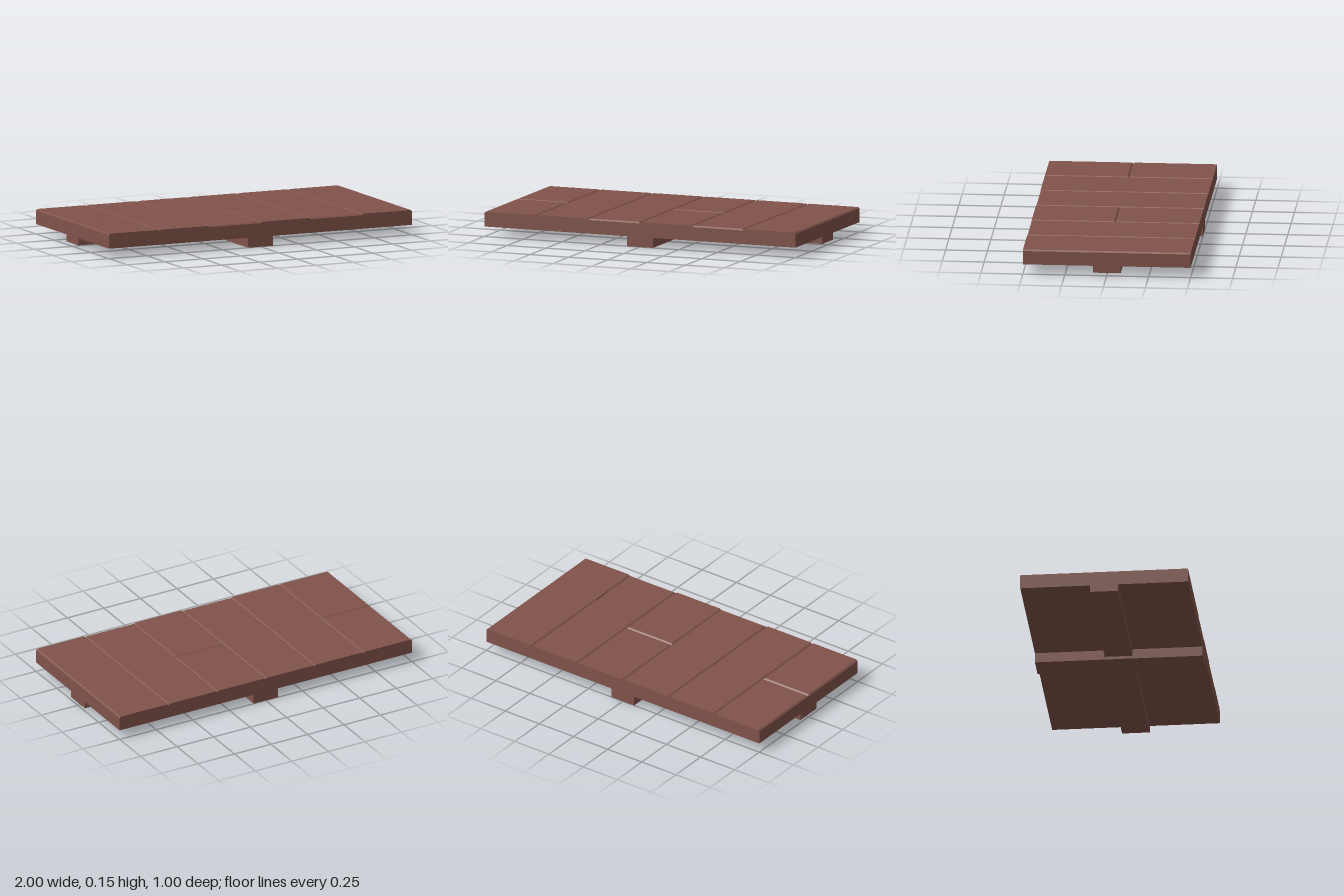
import * as THREE from 'three';

const EDGE = 0.142, TOP = 0.15, BEVEL = 0.009, W = 1 / 3;

// Bevelled plank top: an outline at EDGE height rising to an inset outline at TOP.
// inset is the bevel at the back (z0) and front (z1); chips are [z, inset] points on the left edge.
function plankTop(x0, x1, z0, z1, backInset, frontInset, chips = []) {
  const outer = [[x0, z1], [x1, z1], [x1, z0], [x0, z0]];
  const inner = [
    [x0 + BEVEL, z1 - frontInset], [x1 - BEVEL, z1 - frontInset],
    [x1 - BEVEL, z0 + backInset], [x0 + BEVEL, z0 + backInset],
  ];
  for (const [z, inset] of chips) {
    outer.push([x0, z]);
    inner.push([x0 + inset, z]);
  }
  const pos = [];
  const low = (p) => pos.push(p[0], EDGE, p[1]);
  const high = (p) => pos.push(p[0], TOP, p[1]);
  outer.forEach((a, i) => {
    const j = (i + 1) % outer.length;
    low(a); low(outer[j]); high(inner[j]);
    low(a); high(inner[j]); high(inner[i]);
  });
  const contour = inner.map(([x, z]) => new THREE.Vector2(x, -z));
  for (const face of THREE.ShapeUtils.triangulateShape(contour, [])) {
    face.forEach((k) => high(inner[k]));
  }
  const geometry = new THREE.BufferGeometry();
  geometry.setAttribute('position', new THREE.Float32BufferAttribute(pos, 3));
  geometry.computeVertexNormals();
  return geometry;
}

export function createModel() {
  const group = new THREE.Group();
  group.name = 'plankPlatform';
  const wood = new THREE.MeshStandardMaterial({ color: 0x80534a });
  wood.name = 'brown wood';

  const add = (name, geometry) => {
    const mesh = new THREE.Mesh(geometry, wood);
    mesh.name = name;
    group.add(mesh);
  };
  const box = (name, w, y0, y1, d) =>
    add(name, new THREE.BoxGeometry(w, y1 - y0, d).translate(0, (y0 + y1) / 2, 0));

  // Deck body and the two crossing beams underneath
  box('deckBody', 2, 0.06, EDGE, 1);
  box('longBeam', 2, 0.018, 0.06, 0.166);
  box('crossBeam', 0.166, 0, 0.06, 1);

  // Six columns of planks; two are cut in half, two have a bevelled front end
  const chips = {
    2: [[-0.03, BEVEL], [-0.012, 0.004], [0.01, 0.004], [0.025, BEVEL]],
    5: [[0.15, BEVEL], [0.16, 0.004], [0.26, 0.004], [0.27, BEVEL]],
  };
  for (let i = 0; i < 6; i++) {
    const x0 = -1 + i * W, x1 = x0 + W;
    if (i % 3 === 0) {
      add('backHalfPlank', plankTop(x0, x1, -0.5, 0, 0, BEVEL));
      add('frontHalfPlank', plankTop(x0, x1, 0, 0.5, BEVEL, 0));
    } else {
      const front = i % 2 === 0 ? BEVEL : 0;
      add('longPlank', plankTop(x0, x1, -0.5, 0.5, 0, front, chips[i]));
    }
  }
  return group;
}
